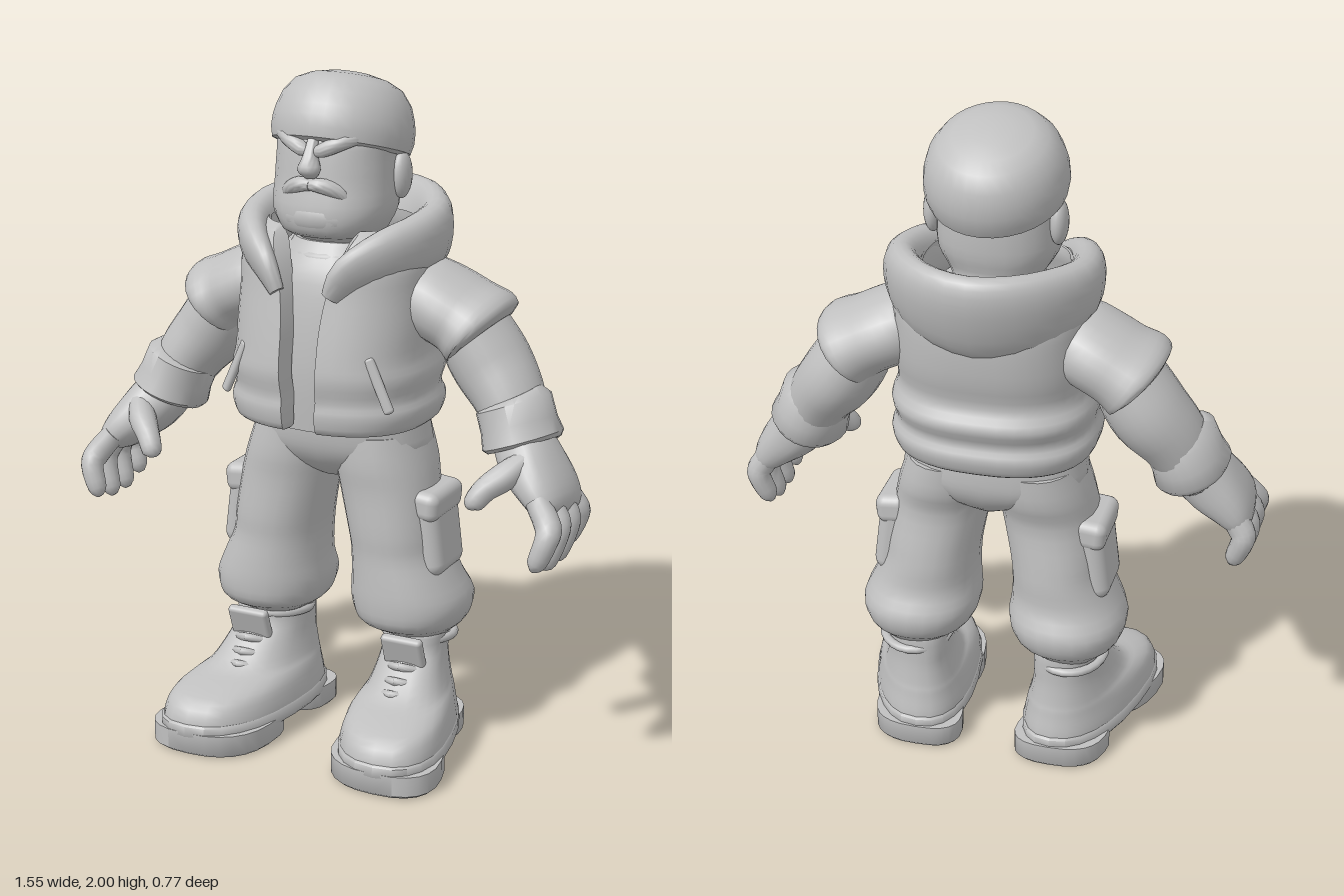
import * as THREE from 'three';
import { toCreasedNormals } from 'three/addons/utils/BufferGeometryUtils.js';
import { RoundedBoxGeometry } from 'three/addons/geometries/RoundedBoxGeometry.js';

const SIDES = 24;
const V = (x, y, z) => new THREE.Vector3(x, y, z);

// Catmull-Rom subdivision of every column in a table of sections
function smooth(rows, k = 3) {
  const out = [], at = i => rows[Math.max(0, Math.min(rows.length - 1, i))];
  for (let i = 0; i < rows.length - 1; i++) {
    for (let s = 0; s < k; s++) {
      const t = s / k, [a, b, c, d] = [at(i - 1), at(i), at(i + 1), at(i + 2)];
      out.push(b.map((_, j) => 0.5 * (2 * b[j] + (c[j] - a[j]) * t + (2 * a[j] - 5 * b[j] + 4 * c[j] - d[j]) * t * t
        + (3 * b[j] - a[j] - 3 * c[j] + d[j]) * t * t * t)));
    }
  }
  out.push(rows[rows.length - 1]);
  return out;
}

// Skin over closed rings of points, with fan caps
function loft(rings, crease = 0.9, caps = true) {
  const n = rings[0].length, m = rings.length, pos = [], index = [];
  rings.forEach(r => r.forEach(p => pos.push(p.x, p.y, p.z)));
  for (let i = 0; i < m - 1; i++) for (let j = 0; j < n; j++) {
    const k = (j + 1) % n, a = i * n + j, b = a + n, c = i * n + k, d = c + n;
    index.push(a, b, c, c, b, d);
  }
  if (caps) [0, m - 1].forEach((i, end) => {
    const c = V(0, 0, 0);
    rings[i].forEach(p => c.addScaledVector(p, 1 / n));
    const id = pos.length / 3;
    pos.push(c.x, c.y, c.z);
    for (let j = 0; j < n; j++) {
      const a = i * n + j, b = i * n + (j + 1) % n;
      index.push(id, end ? b : a, end ? a : b);
    }
  });
  const g = new THREE.BufferGeometry();
  g.setAttribute('position', new THREE.Float32BufferAttribute(pos, 3));
  g.setIndex(index);
  return toCreasedNormals(g, crease);
}

const sgnPow = (c, e) => Math.sign(c) * Math.abs(c) ** e;

// Sections [x, y, z, ru, rv] along a path; flat keeps rings level
function limb(rows, { flat = false, n = 2, k = 3, ref = () => V(0, 0, 1), sides = SIDES, warp } = {}) {
  const s = k > 1 ? smooth(rows, k) : rows;
  const rise = Math.sign(s[s.length - 1][1] - s[0][1]);
  const rings = s.map((r, i) => {
    const a = s[Math.max(0, i - 1)], b = s[Math.min(s.length - 1, i + 1)];
    const p = V(r[0], r[1], r[2]);
    const d = flat ? V(0, rise, 0) : V(b[0] - a[0], b[1] - a[1], b[2] - a[2]).normalize();
    const v = ref(p);
    v.addScaledVector(d, -v.dot(d)).normalize();
    const u = d.clone().cross(v);
    return Array.from({ length: sides }, (_, j) => {
      const t = j / sides * Math.PI * 2;
      const q = p.clone().addScaledVector(u, r[3] * sgnPow(Math.cos(t), 2 / n)).addScaledVector(v, r[4] * sgnPow(Math.sin(t), 2 / n));
      return warp ? warp(q) : q;
    });
  });
  return loft(rings);
}

// Open-fronted shell; rows [y, rx, zFront, zBack, halfGap, thickness]
function openShell(rows, n = 2.5, steps = 40) {
  return loft(smooth(rows).map(([y, rx, zf, zb, gap, t]) => {
    const c = (zf + zb) / 2, rz = (zf - zb) / 2, g = Math.asin((gap / rx) ** (n / 2)), ring = [];
    const add = (a, w) => ring.push(V((rx - w) * sgnPow(Math.cos(a), 2 / n), y, c + (rz - w) * sgnPow(Math.sin(a), 2 / n)));
    const angle = i => Math.PI / 2 + g + (Math.PI * 2 - 2 * g) * i / steps;
    for (let i = 0; i <= steps; i++) add(angle(i), 0);
    for (let i = steps; i >= 0; i--) add(angle(i), t);
    return ring;
  }), 0.9, false);
}

// Mirror across x, restoring the corner order
function mirror(src) {
  const g = src.index ? src.toNonIndexed() : src.clone();
  g.deleteAttribute('uv');
  for (const name of ['position', 'normal']) {
    const a = g.attributes[name].array;
    for (let i = 0; i < a.length; i += 3) a[i] *= -1;
    for (let i = 0; i < a.length; i += 9) for (let c = 3; c < 6; c++) [a[i + c], a[i + c + 3]] = [a[i + c + 3], a[i + c]];
  }
  return g;
}

const box = (w, h, d, r, [x, y, z], [rx, ry, rz]) =>
  new RoundedBoxGeometry(w, h, d, 3, r).rotateX(rx).rotateY(ry).rotateZ(rz).translate(x, y, z);
const ball = (x, y, z, a, b, c) => new THREE.SphereGeometry(1, 20, 14).scale(a, b, c).translate(x, y, z);

export function createModel() {
  const group = new THREE.Group();
  const grey = new THREE.MeshStandardMaterial({ color: 0xc0c0c0 });
  grey.name = 'grey';
  const add = (name, g) => {
    const m = new THREE.Mesh(g, grey);
    m.name = name;
    group.add(m);
  };
  const pair = (name, g) => { add(name + 'Left', g); add(name + 'Right', mirror(g)); };

  // Head and neck
  add('head', limb([[0, 1.46, -.05, .12, .12], [0, 1.53, -.04, .12, .13], [0, 1.56, 0, .145, .155], [0, 1.62, 0, .175, .17],
    [0, 1.70, -.01, .175, .165], [0, 1.78, -.015, .172, .16], [0, 1.84, -.03, .172, .16], [0, 1.9, -.04, .12, .12]], { flat: true, n: 2.3 }));
  add('beard', ball(0, 1.61, .085, .135, .07, .088));
  add('nose', limb([[0, 1.84, .14, .015, .015], [0, 1.79, .16, .02, .025], [0, 1.75, .17, .034, .03], [0, 1.725, .16, .015, .015]], { flat: true }));
  pair('brow', limb([[.005, 1.8, .148, .01, .012], [.03, 1.803, .152, .02, .022], [.09, 1.83, .128, .022, .022], [.14, 1.84, .08, .012, .014]]));
  pair('moustache', limb([[0, 1.705, .158, .016, .022], [.04, 1.703, .154, .022, .022], [.085, 1.68, .13, .018, .018], [.105, 1.645, .115, .006, .008]]));
  pair('ear', ball(.18, 1.712, -.055, .027, .068, .042));

  // Rounded knitted cap, tilted back
  const capProfile = [[.15, .025], [.178, -.002], [.2, .006], [.207, .035], [.206, .07], [.2, .1], [.186, .14], [.155, .18], [.115, .2], [.06, .213], [0, .217]];
  add('cap', toCreasedNormals(new THREE.LatheGeometry(capProfile.map(p => new THREE.Vector2(...p)), 32), 0.9)
    .scale(.98, 1, 1.05).rotateX(-.3).translate(0, 1.776, -.03));

  // Shirt
  add('shirt', limb([[0, .99, -.03, .23, .21], [0, 1.15, -.03, .24, .22], [0, 1.3, -.04, .24, .22], [0, 1.42, -.04, .22, .2],
    [0, 1.48, -.03, .16, .165], [0, 1.53, -.03, .125, .13]], { flat: true, n: 2.3 }));
  add('shirtCollar', new THREE.TorusGeometry(.135, .022, 10, 32).rotateX(Math.PI / 2 + .12).translate(0, 1.5, -.025));

  // Padded vest with folds at the waist
  add('vest', openShell([[1.0, .27, .215, -.255, .055, .005], [1.01, .29, .24, -.28, .052, .05], [1.06, .303, .25, -.295, .052, .06], [1.1, .29, .245, -.28, .054, .06],
    [1.16, .3, .255, -.305, .056, .06], [1.215, .285, .25, -.275, .058, .06], [1.3, .287, .235, -.295, .06, .06], [1.4, .285, .215, -.305, .072, .06],
    [1.48, .285, .2, -.3, .095, .06], [1.54, .26, .17, -.27, .12, .05], [1.575, .21, .13, -.22, .13, .005]]));
  pair('vestPocketWelt', box(.03, .17, .022, .01, [.228, 1.16, .19], [0, .55, .42]));

  // Hood lying around the neck
  const half = [[.085, 1.4, .205, .02, .03], [.13, 1.465, .185, .032, .06], [.205, 1.515, .11, .045, .075], [.25, 1.53, 0, .052, .085],
    [.248, 1.535, -.13, .055, .1], [.15, 1.525, -.26, .055, .13]];
  add('hood', limb([...half, [0, 1.515, -.31, .055, .145], ...half.slice().reverse().map(([x, ...r]) => [-x, ...r])],
    { n: 2.3, ref: p => V(p.x * .3, 1, (p.z + .05) * 1.3) }));

  // Arms
  pair('sleeve', limb([[.16, 1.37, -.07, .09, .11], [.24, 1.37, -.07, .112, .145], [.31, 1.345, -.08, .112, .16], [.37, 1.315, -.085, .113, .162],
    [.415, 1.287, -.085, .124, .172], [.428, 1.276, -.085, .112, .158], [.432, 1.272, -.085, .08, .12]]));
  pair('forearm', limb([[.37, 1.33, -.085, .09, .12], [.41, 1.25, -.09, .108, .13], [.455, 1.18, -.09, .112, .132], [.51, 1.11, -.07, .102, .12], [.55, 1.04, -.05, .09, .11]]));
  pair('cuff', limb([[.528, 1.11, -.05, .085, .1], [.538, 1.088, -.05, .108, .125], [.56, 1.03, -.04, .108, .127], [.576, .988, -.033, .116, .135],
    [.581, .974, -.033, .105, .12], [.583, .97, -.03, .07, .08]], { k: 1 }));
  pair('palm', limb([[.57, 1.0, -.03, .08, .085], [.62, .938, 0, .082, .11], [.678, .878, .025, .066, .125], [.712, .835, .035, .048, .12], [.725, .81, .04, .02, .09]], { n: 2.4 }));
  pair('thumb', limb([[.63, .97, .06, .03, .035], [.59, .93, .115, .04, .042], [.545, .895, .16, .035, .035], [.518, .855, .185, .029, .029], [.513, .84, .19, .01, .012]], { sides: 14 }));
  [[.125, .175, .71], [.07, .095, .69], [.01, .015, .69], [-.05, -.065, .715]].forEach(([z0, z1, tip], i) =>
    pair('finger' + (i + 1), limb([[.685, .87, z0, .035, .035], [.73, .81, (z0 + z1) / 2, .038, .037], [.735, (tip + .84) / 2, z1, .034, .034],
      [.712, tip, z1 + .01, .028, .028], [.7, tip - .022, z1 + .012, .009, .01]], { sides: 14 })));

  // Trousers with side pockets
  add('trouserSeat', limb([[0, 1.06, -.04, .25, .19], [0, .97, -.045, .265, .19], [0, .91, -.05, .265, .18], [0, .86, -.055, .18, .15], [0, .82, -.06, .05, .1]], { flat: true, n: 2.4 }));
  pair('trouserLeg', limb([[.13, .97, -.05, .125, .175], [.145, .88, -.045, .14, .175], [.162, .8, -.035, .142, .16], [.185, .68, -.04, .14, .168],
    [.195, .61, -.045, .14, .17], [.213, .53, -.045, .157, .175], [.225, .46, -.06, .175, .192], [.228, .4, -.06, .16, .18], [.232, .365, -.07, .125, .135], [.235, .34, -.08, .09, .1]], { flat: true, n: 2.2 }));
  pair('legPocket', box(.1, .24, .2, .04, [.3, .665, -.045], [0, 0, .12]));
  pair('legPocketFlap', box(.1, .09, .21, .03, [.298, .765, -.045], [0, 0, -.1]));

  // Boots, widening and turning out towards the toe
  const turn = q => V(.245 + (q.x - .245) * (1 + .35 * (q.z - .1)) + .16 * q.z, q.y, q.z);
  const boot = (rows, n, k = 3) => limb(rows, { flat: true, n, k, warp: turn });
  pair('boot', boot([[.245, .06, .08, .16, .3], [.245, .1, .08, .16, .3], [.245, .15, .07, .15, .28], [.245, .178, .03, .138, .235], [.245, .2, -.01, .125, .19],
    [.245, .26, -.045, .108, .148], [.245, .31, -.07, .103, .122], [.25, .365, -.075, .103, .115], [.25, .37, -.075, .08, .09]], 2.4));
  pair('soleWelt', boot([[.245, .05, .08, .158, .3], [.245, .06, .08, .165, .309], [.245, .09, .08, .164, .308], [.245, .1, .08, .155, .295]], 2.4, 1));
  pair('frontSole', boot([[.245, 0, .215, .152, .16], [.245, .01, .215, .162, .172], [.245, .07, .215, .162, .172]], 2.5, 1));
  pair('heel', boot([[.245, 0, -.13, .138, .095], [.245, .01, -.13, .148, .104], [.245, .07, -.13, .148, .104]], 2.7, 1));
  pair('bootTongue', box(.13, .1, .03, .012, [.255, .32, .07], [.35, 0, 0]));
  pair('bootCollar', new THREE.TorusGeometry(.1, .013, 8, 24).rotateX(Math.PI / 2 - .1).scale(1, 1, 1.12).translate(.24, .33, -.08));
  [[.205, .145], [.235, .115], [.27, .085]].forEach(([y, z], i) =>
    pair('lace' + (i + 1), limb([[.185, y - .02, z - .045, .012, .012], [.255, y + .008, z + .01, .013, .013], [.33, y - .02, z - .045, .012, .012]], { sides: 8 })));

  return group;
}
